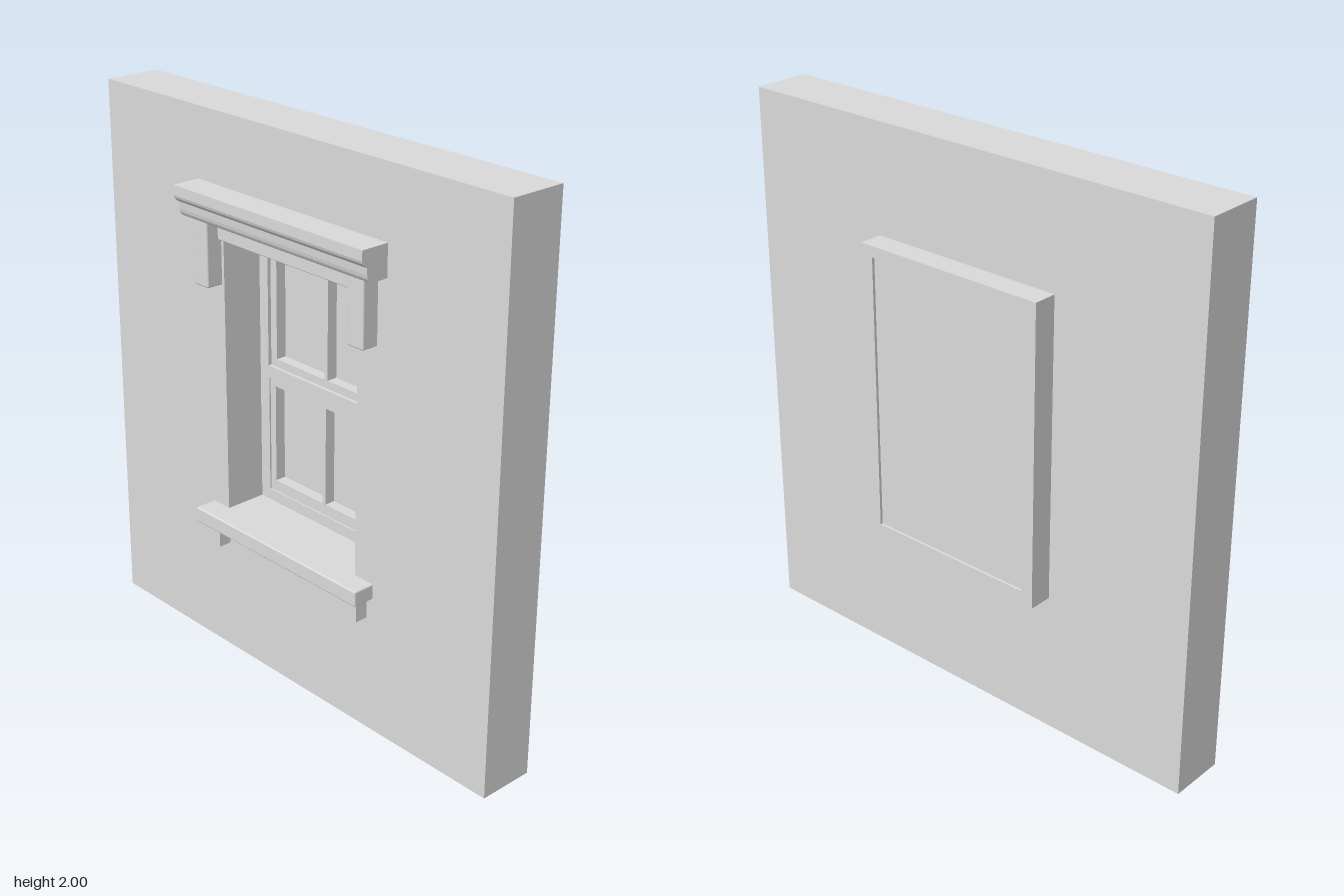
import * as THREE from 'three';
import { RoundedBoxGeometry } from 'three/addons/geometries/RoundedBoxGeometry.js';

// Rectangles are [x0, y0, x1, y1]
function trace(path, [x0, y0, x1, y1]) {
  path.moveTo(x0, y0);
  path.lineTo(x1, y0);
  path.lineTo(x1, y1);
  path.lineTo(x0, y1);
  path.closePath();
  return path;
}

// Rectangular panel with rectangular openings, spanning z0..z1
function panel(outer, holes, z0, z1) {
  const shape = trace(new THREE.Shape(), outer);
  shape.holes = holes.map((h) => trace(new THREE.Path(), h));
  const geo = new THREE.ExtrudeGeometry(shape, { depth: z1 - z0, bevelEnabled: false });
  return geo.translate(0, 0, z0);
}

// Box given by its limits, with optional softened edges
function block(x0, x1, y0, y1, z0, z1, r = 0) {
  const size = [x1 - x0, y1 - y0, z1 - z0];
  const geo = r ? new RoundedBoxGeometry(...size, 2, r) : new THREE.BoxGeometry(...size);
  return geo.translate((x0 + x1) / 2, (y0 + y1) / 2, (z0 + z1) / 2);
}

export function createModel() {
  const group = new THREE.Group();
  const plaster = new THREE.MeshStandardMaterial({ color: 0xd9d9d9 });
  plaster.name = 'pale plaster';

  const add = (name, geo) => {
    const mesh = new THREE.Mesh(geo, plaster);
    mesh.name = name;
    group.add(mesh);
  };

  const face = 0.094;
  const back = -0.113;
  const opening = [-0.325, 0.565, 0.325, 1.57];

  // Wall and the casing that stands out behind it
  add('wall', panel([-0.935, 0, 0.935, 2], [opening], back, face));
  add('rearCasing', panel([-0.373, 0.517, 0.373, 1.61], [opening], -0.2, back));
  add('rearPanel', block(-0.325, 0.325, 0.565, 1.57, -0.19, -0.183));

  // Window frame with two sashes of two panes each
  const sashes = [
    { name: 'upper', rect: [-0.283, 1.084, 0.28, 1.523], y0: 1.113, y1: 1.492, z: -0.075 },
    { name: 'lower', rect: [-0.28, 0.607, 0.275, 1.04], y0: 0.648, y1: 1.012, z: -0.068 },
  ];
  add('windowFrame', panel(opening, sashes.map((s) => s.rect), -0.183, -0.062));
  for (const { name, rect, y0, y1, z } of sashes) {
    const panes = [[-0.253, y0, -0.01, y1], [0.005, y0, 0.248, y1]];
    add(name + 'Sash', panel(rect, panes, z - 0.05, z));
    add(name + 'Glass', block(-0.27, 0.265, y0 - 0.01, y1 + 0.01, z - 0.046, z - 0.04));
  }

  // Moulded cornice, profile drawn as (depth, height) and swept along x
  const profile = new THREE.Shape();
  profile.moveTo(face, 1.638);
  profile.lineTo(0.162, 1.638);
  profile.quadraticCurveTo(0.176, 1.645, 0.178, 1.665);
  profile.lineTo(0.18, 1.69);
  profile.quadraticCurveTo(0.198, 1.7, 0.2, 1.715);
  profile.lineTo(0.2, 1.75);
  profile.lineTo(face, 1.75);
  profile.closePath();
  const cornice = new THREE.ExtrudeGeometry(profile, { depth: 0.9, bevelEnabled: false, curveSegments: 3 });
  add('cornice', cornice.rotateY(-Math.PI / 2).translate(0.45, 0, 0));

  // Head board and projecting sill
  add('headBoard', block(-0.345, 0.345, 1.567, 1.645, face - 0.01, 0.108, 0.004));
  add('sill', block(-0.41, 0.41, 0.508, 0.565, face - 0.01, 0.175, 0.006));

  // Brackets under the cornice and corbels under the sill
  for (const side of [-1, 1]) {
    const x = side * 0.374;
    const c = side * 0.352;
    const label = side > 0 ? 'left' : 'right';
    add(label + 'Bracket', block(x - 0.037, x + 0.037, 1.405, 1.644, face - 0.01, 0.155, 0.006));
    add(label + 'Corbel', block(c - 0.03, c + 0.03, 0.427, 0.512, face - 0.01, 0.142));
  }
  return group;
}
